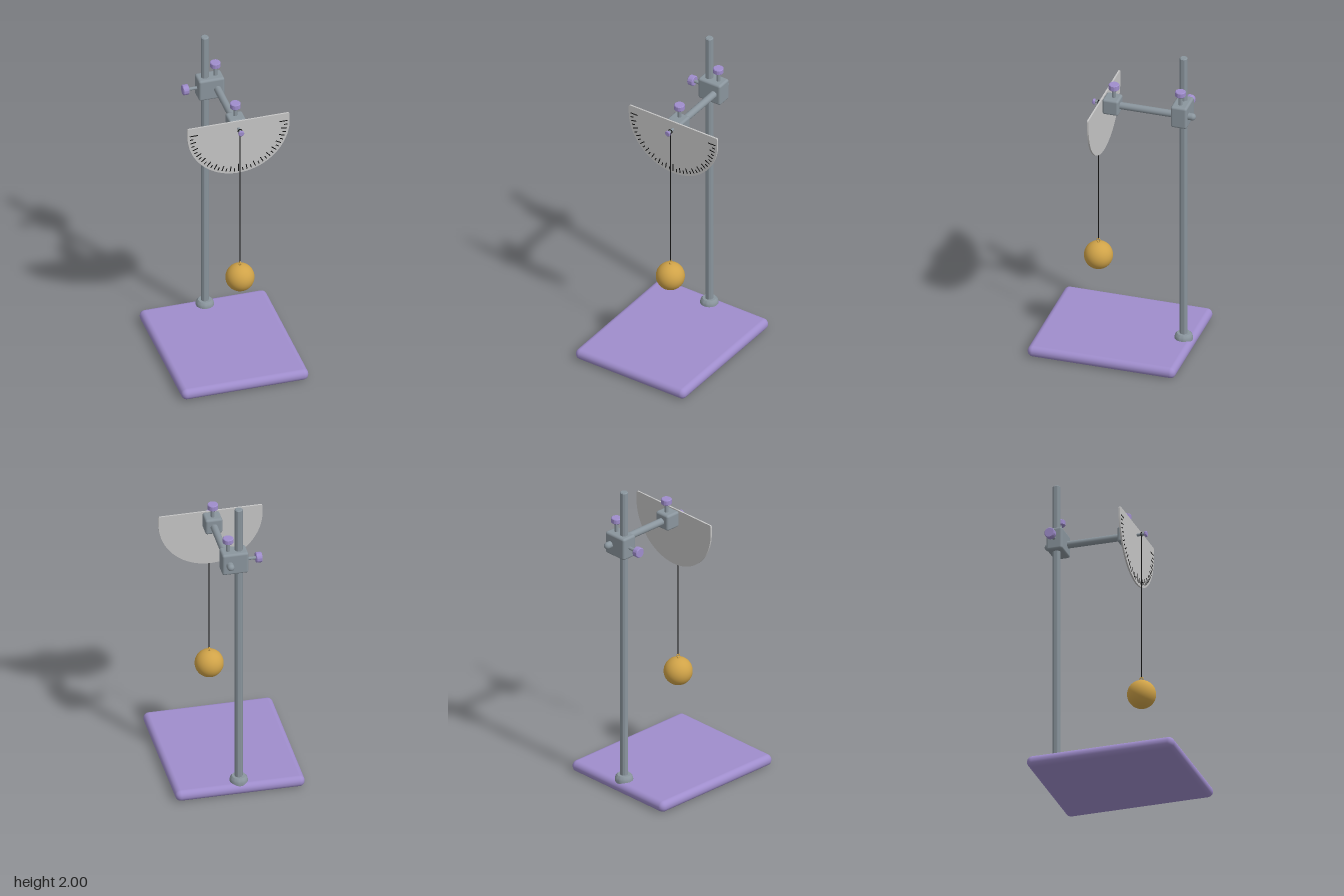
import * as THREE from 'three';
import { toCreasedNormals } from 'three/addons/utils/BufferGeometryUtils.js';
import { RoundedBoxGeometry } from 'three/addons/geometries/RoundedBoxGeometry.js';

const mat = (name, color) => Object.assign(new THREE.MeshStandardMaterial({ color }), { name });

export function createModel() {
  const purple = mat('purple paint', 0x9f8dcc);
  const steel = mat('grey steel', 0x8a959d);
  const plate = mat('pale plate', 0xc6c6c6);
  const brass = mat('brass', 0xd0a348);
  const black = mat('black', 0x141414);

  const model = new THREE.Group();
  model.name = 'pendulumStand';
  const POST_Z = -0.382, ARM_X = 0.065, ARM_Y = 1.64, BOB_Z = 0.13;

  const add = (parent, name, geo, material, x = 0, y = 0, z = 0) => {
    const m = new THREE.Mesh(geo, material);
    m.name = name;
    m.position.set(x, y, z);
    parent.add(m);
    return m;
  };
  // Block with rounded edges, given by its limits
  const block = (name, material, [x0, x1], [y0, y1], [z0, z1], r) =>
    add(model, name, new RoundedBoxGeometry(x1 - x0, y1 - y0, z1 - z0, 4, r), material,
      (x0 + x1) / 2, (y0 + y1) / 2, (z0 + z1) / 2);
  // Turned part with bevelled ends, standing on y = y0
  const turned = (r, y0, y1, bevel) => toCreasedNormals(new THREE.LatheGeometry(
    [[0, y0], [r - bevel, y0], [r, y0 + bevel], [r, y1 - bevel], [r - bevel, y1], [0, y1]]
      .map(p => new THREE.Vector2(...p)), 32), 0.6);
  // Screw along its own +y: thin stem with a round head
  const screw = (name, stemR, stemLength, headR, headHeight) => {
    const g = new THREE.Group();
    g.name = name;
    add(g, 'screwStem', turned(stemR, -0.02, stemLength + 0.004, 0.001), steel);
    add(g, 'screwHead', turned(headR, stemLength, stemLength + headHeight, 0.004), purple);
    model.add(g);
    return g;
  };

  // Base, collar and post
  block('base', purple, [-0.395, 0.395], [0, 0.07], [-0.446, 0.478], 0.034);
  const collar = [[0, 0.06], [0.055, 0.06], [0.055, 0.078], [0.051, 0.092], [0.04, 0.104], [0, 0.104]];
  add(model, 'collar', toCreasedNormals(new THREE.LatheGeometry(
    collar.map(p => new THREE.Vector2(...p)), 40), 0.7), steel, 0, 0, POST_Z);
  add(model, 'post', turned(0.024, 0.05, 2, 0.005), steel, 0, 0, POST_Z);

  // Horizontal arm with round ends
  const arm = add(model, 'arm', new THREE.CapsuleGeometry(0.022, 0.474, 8, 28), steel, ARM_X, ARM_Y, -0.219);
  arm.rotation.x = Math.PI / 2;

  // Clamps and their screws
  block('postClamp', steel, [-0.05, 0.11], [1.57, 1.712], [-0.433, -0.332], 0.014);
  block('plateClamp', steel, [0.013, 0.117], [1.59, 1.692], [-0.008, 0.092], 0.014);
  screw('armScrew', 0.012, 0.06, 0.032, 0.034).position.set(ARM_X, 1.71, POST_Z);
  screw('plateScrew', 0.012, 0.055, 0.032, 0.036).position.set(ARM_X, 1.69, 0.033);
  const side = screw('postScrew', 0.01, 0.053, 0.032, 0.037);
  side.position.set(-0.05, ARM_Y, POST_Z);
  side.rotation.z = Math.PI / 2;

  // Half-round angle plate, with a short straight band above its centre
  const R = 0.318, TOP = 0.052, c = 0.012;
  const outline = new THREE.Shape();
  outline.moveTo(-R, 0);
  outline.absarc(0, 0, R, Math.PI, Math.PI * 2, false);
  outline.lineTo(R, TOP - c);
  outline.quadraticCurveTo(R, TOP, R - c, TOP);
  outline.lineTo(-R + c, TOP);
  outline.quadraticCurveTo(-R, TOP, -R, TOP - c);
  outline.closePath();
  const plateGeo = new THREE.ExtrudeGeometry(outline, { depth: 0.01, bevelEnabled: false, curveSegments: 64 });
  add(model, 'anglePlate', toCreasedNormals(plateGeo, 0.5), plate, ARM_X, ARM_Y, 0.092);

  // Scale marks every five degrees
  const marks = new THREE.Group();
  marks.name = 'scaleMarks';
  marks.position.set(ARM_X, ARM_Y, 0.1025);
  model.add(marks);
  for (let deg = 0; deg <= 180; deg += 5) {
    const a = -deg * Math.PI / 180;
    const length = deg % 90 === 0 ? 0.05 : deg % 10 === 0 ? 0.036 : 0.021;
    const r = 0.304 - length / 2;
    const m = add(marks, 'mark', new THREE.BoxGeometry(length, 0.0055, 0.003), black,
      r * Math.cos(a), r * Math.sin(a), 0);
    m.rotation.z = a;
  }

  // Pivot pin
  const pin = screw('pivotPin', 0.009, 0.048, 0.018, 0.015);
  pin.position.set(ARM_X, ARM_Y, 0.102);
  pin.rotation.x = Math.PI / 2;

  // Thread, its loop on the pin, and the bob with its eye
  add(model, 'threadLoop', new THREE.TorusGeometry(0.0115, 0.003, 8, 28), black, ARM_X, ARM_Y, BOB_Z);
  add(model, 'thread', new THREE.CylinderGeometry(0.003, 0.003, 0.932, 10), black, ARM_X, 1.164, BOB_Z);
  const eye = add(model, 'bobEye', new THREE.TorusGeometry(0.01, 0.0035, 10, 24), brass, ARM_X, 0.689, BOB_Z);
  eye.rotation.y = Math.PI / 2;
  add(model, 'bobNeck', turned(0.008, 0.66, 0.682, 0.002), brass, ARM_X, 0, BOB_Z);
  add(model, 'bob', new THREE.SphereGeometry(0.087, 48, 32), brass, ARM_X, 0.588, BOB_Z);

  return model;
}
